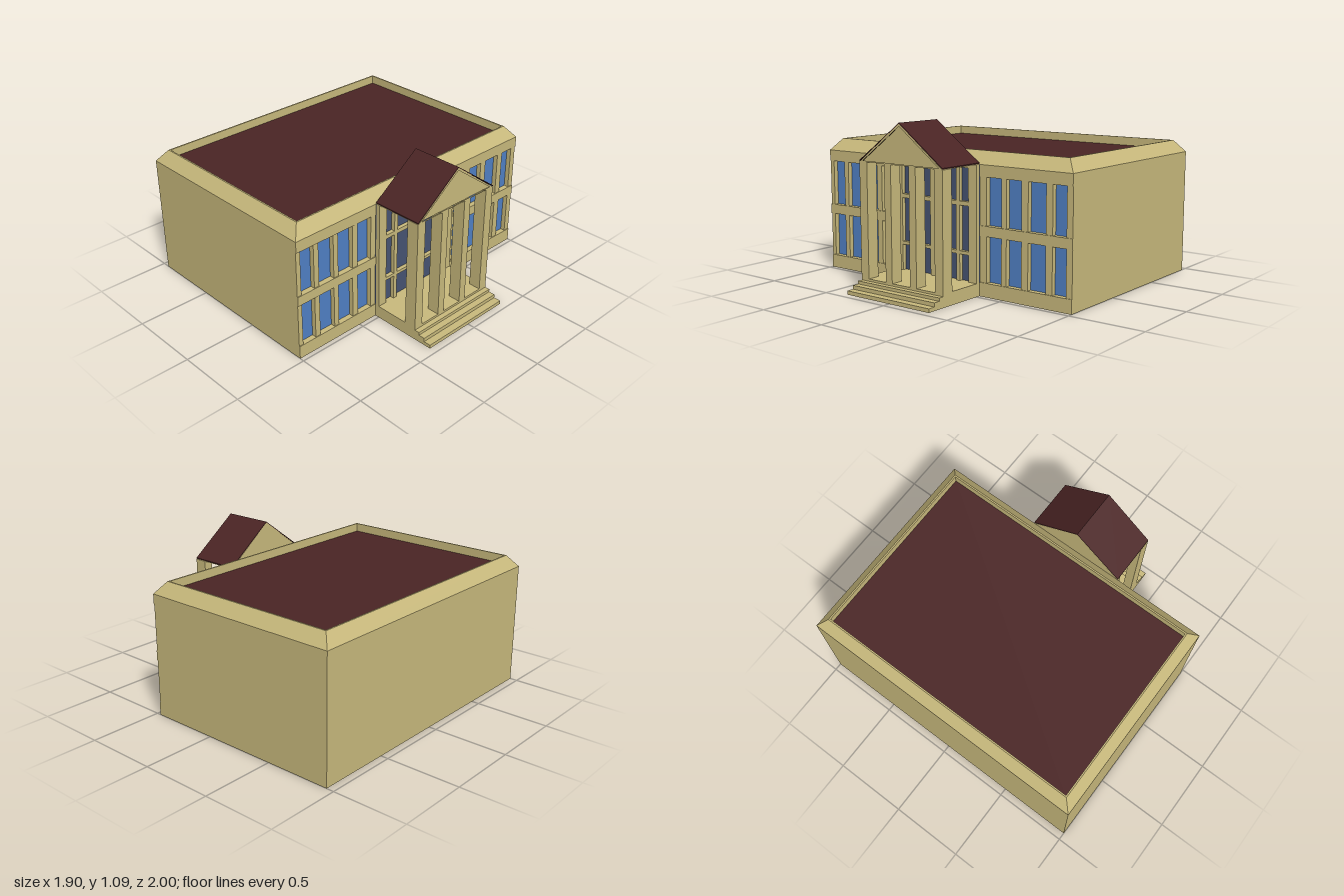
import * as THREE from 'three';

const mat = (color, side = THREE.FrontSide) => new THREE.MeshStandardMaterial({ color, side, flatShading: true });
const stone = mat(0xc8b97c);
const maroon = mat(0x4a2424);
const glass = mat(0x5080c4);
const doorGlass = mat(0x465372);

export function createModel() {
  const model = new THREE.Group();
  model.name = 'building';

  const add = (name, geometry, material) => {
    const mesh = new THREE.Mesh(geometry, material);
    mesh.name = name;
    model.add(mesh);
    return mesh;
  };
  // Box given by its limits on each axis
  const box = (name, [x0, x1], [y0, y1], [z0, z1], material = stone) => {
    const g = new THREE.BoxGeometry(x1 - x0, y1 - y0, z1 - z0);
    g.translate((x0 + x1) / 2, (y0 + y1) / 2, (z0 + z1) / 2);
    return add(name, g, material);
  };
  // Outline of [z, y] points extruded along x, with an optional hole
  const extrudeX = (name, points, [x0, x1], material, hole) => {
    const toVec = ([z, y]) => new THREE.Vector2(-z, y);
    const shape = new THREE.Shape(points.map(toVec));
    if (hole) shape.holes.push(new THREE.Path(hole.map(toVec)));
    const g = new THREE.ExtrudeGeometry(shape, { depth: x1 - x0, bevelEnabled: false });
    g.rotateY(Math.PI / 2);
    g.translate(x0, 0, 0);
    return add(name, g, material);
  };

  // Main block
  const X0 = -0.95, X1 = 0.47, wallX = 0.43, eaveY = 0.83;
  box('mainBlock', [X0, wallX], [0, eaveY], [-1, 1]);

  // Sloped parapet: rectangular rings of [inset, height]
  const rings = [[0, eaveY], [0.065, 0.91], [0.075, 0.91], [0.075, 0.84]];
  const corners = ([d, y]) => [
    [X0 + d, y, 1 - d], [X1 - d, y, 1 - d], [X1 - d, y, -1 + d], [X0 + d, y, -1 + d],
  ];
  const positions = [];
  for (let r = 0; r < rings.length - 1; r++) {
    const low = corners(rings[r]), high = corners(rings[r + 1]);
    for (let i = 0; i < 4; i++) {
      const j = (i + 1) % 4;
      for (const p of [low[i], low[j], high[j], low[i], high[j], high[i]]) positions.push(...p);
    }
  }
  const parapet = new THREE.BufferGeometry();
  parapet.setAttribute('position', new THREE.Float32BufferAttribute(positions, 3));
  parapet.computeVertexNormals();
  add('parapet', parapet, stone);
  box('flatRoof', [X0 + 0.075, X1 - 0.075], [eaveY, 0.852], [-0.925, 0.925], maroon);

  // Facade: horizontal bands, piers and recessed windows
  for (const rows of [[0, 0.09], [0.385, 0.45], [0.755, eaveY]]) {
    box('facadeBand', [wallX, X1], rows, [-1, 1]);
  }
  const piers = [
    [0.968, 1], [0.828, 0.866], [0.673, 0.71], [0.512, 0.555], [0.355, 0.4],
    [-0.373, -0.32], [-0.523, -0.485], [-0.684, -0.635], [-0.86, -0.812], [-1, -0.957],
  ];
  for (const rows of [[0.09, 0.385], [0.45, 0.755]]) {
    for (const span of piers) box('facadePier', [wallX, X1 - 0.005], rows, span);
    box('leftWindows', [wallX, wallX + 0.003], rows, [0.4, 0.968], glass);
    box('rightWindows', [wallX, wallX + 0.003], rows, [-0.957, -0.373], glass);
  }

  // Porch, mirrored about its own centre line
  const cz = 0.02, half = 0.34, floorY = 0.085, porchX = 0.82;
  const span = (a, b) => [cz + a, cz + b];
  const mirrored = (name, xs, ys, a, b, material) => {
    box(name, xs, ys, span(a, b), material);
    box(name, xs, ys, span(-b, -a), material);
  };
  box('porchFloor', [wallX, porchX], [0, floorY], span(-half, half));
  [[0.855, 0.07], [0.9, 0.05], [0.95, 0.025]].forEach(([x, y]) => {
    box('step', [porchX - 0.04, x], [0, y], span(-half, half));
  });

  // Columns
  const columnX = [0.735, porchX];
  mirrored('outerColumn', columnX, [floorY, eaveY], 0.276, half);
  mirrored('innerColumn', columnX, [floorY, eaveY], 0.074, 0.128);

  // Glazed entrance behind the columns
  const frameX = [X1, 0.5];
  box('entranceGlass', [wallX, X1 + 0.003], [floorY, eaveY], span(-half, half), doorGlass);
  mirrored('entranceJamb', frameX, [floorY, eaveY], 0.276, half);
  mirrored('entranceMullion', frameX, [floorY, 0.805], 0.178, 0.206);
  box('entranceCentreMullion', frameX, [floorY, 0.805], span(-0.036, 0.036));
  for (const rows of [[0.257, 0.278], [0.567, 0.594], [0.805, eaveY]]) {
    box('entranceRail', frameX, rows, span(-0.276, 0.276));
  }

  // Gabled porch roof with a slightly recessed pediment
  const gable = (w, base, top) => [[cz - w, base], [cz + w, base], [cz, top]];
  extrudeX('pediment', gable(half - 0.01, eaveY, 1.075), [X1, porchX - 0.015], stone);
  extrudeX('gableRim', gable(half, eaveY, 1.085), [X1, porchX], stone, gable(half - 0.03, eaveY + 0.009, 1.068));
  extrudeX('gableRoof', [
    [cz - half, 0.834], [cz, 1.084], [cz + half, 0.834],
    [cz + half, 0.84], [cz, 1.09], [cz - half, 0.84],
  ], [X1, porchX], maroon);

  return model;
}
